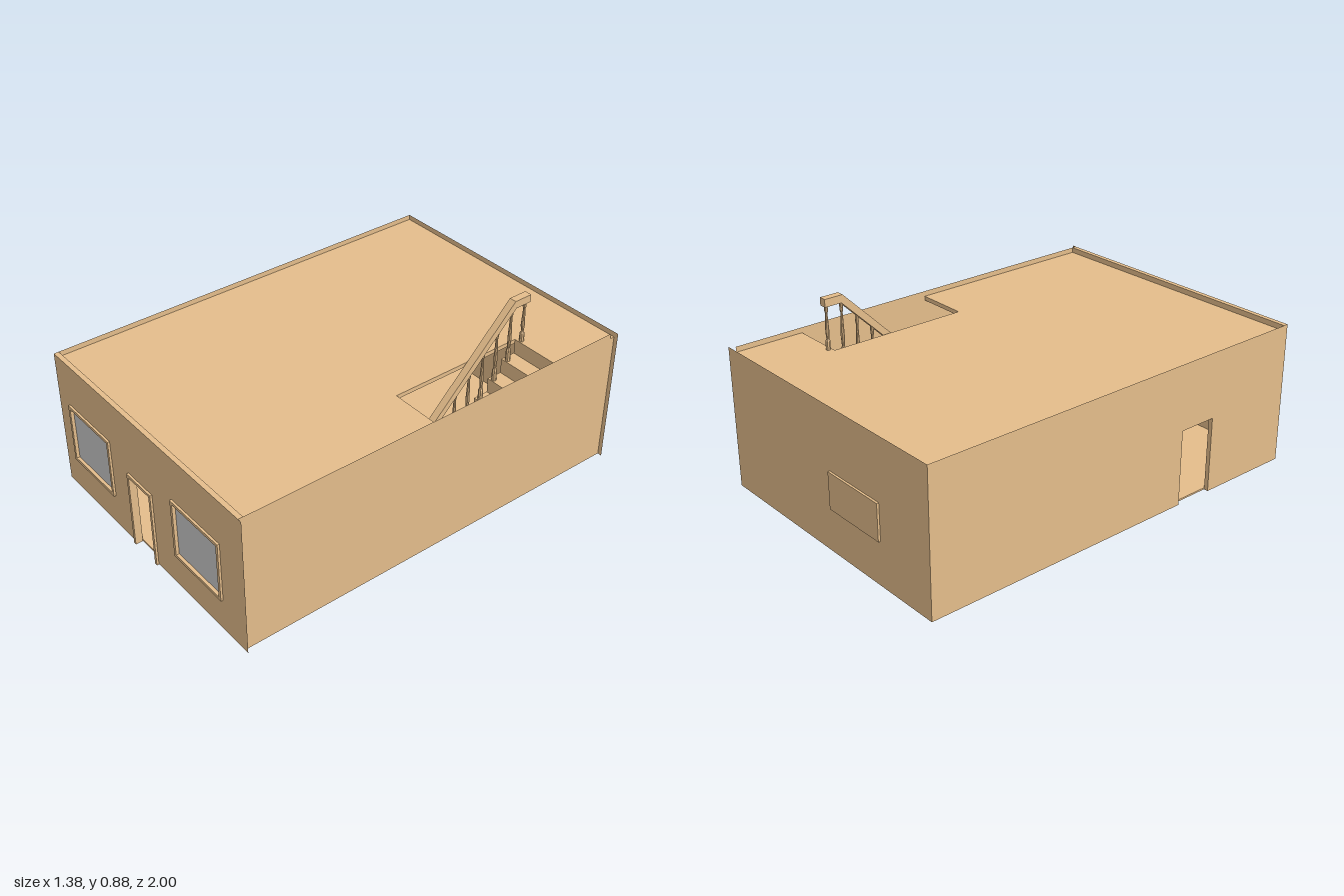
import * as THREE from 'three';

const tan = new THREE.MeshStandardMaterial({ color: 0xe4bd8b, side: THREE.DoubleSide, flatShading: true });
const glass = new THREE.MeshStandardMaterial({ color: 0xcccccc, side: THREE.DoubleSide });

// Main levels and wall planes
const BASE = 0.01, CEILING = 0.63, ROOF = 0.65, TOP = 0.675;
const X_OUT = 0.6875, X_IN = 0.667, Z_OUT = 0.99, Z_IN = 0.967;
// Stairwell
const WELL_X = 0.415, WELL_BACK = -0.64, WELL_FRONT = 0.03;
const STEPS = 9, RUN = (WELL_FRONT - WELL_BACK) / STEPS, RISE = 0.0705;

const rect = (a0, b0, a1, b1) => [[a0, b0], [a1, b0], [a1, b1], [a0, b1]];

function extrude(points, depth, holes = []) {
  const v = (list) => list.map(([a, b]) => new THREE.Vector2(a, b));
  const shape = new THREE.Shape(v(points));
  for (const h of holes) shape.holes.push(new THREE.Path(v(h)));
  return new THREE.ExtrudeGeometry(shape, { depth, bevelEnabled: false });
}
// Profile in (x, y), running from z0 to z1
const alongZ = (points, z0, z1, holes) => extrude(points, z1 - z0, holes).translate(0, 0, z0);
// Profile in (z, y), running from x0 to x1
function alongX(points, x0, x1, holes = []) {
  const flip = (list) => list.map(([z, y]) => [-z, y]);
  return extrude(flip(points), x1 - x0, holes.map(flip)).rotateY(Math.PI / 2).translate(x0, 0, 0);
}
// Plan in (x, z), running from y0 to y1
function alongY(points, y0, y1) {
  return extrude(points.map(([x, z]) => [x, -z]), y1 - y0).rotateX(-Math.PI / 2).translate(0, y0, 0);
}

export function createModel() {
  const model = new THREE.Group();
  const add = (name, geometry, material = tan, parent = model) => {
    const mesh = new THREE.Mesh(geometry, material);
    mesh.name = name;
    parent.add(mesh);
    return mesh;
  };
  const sheet = (name, w, h, x, y, z, turn = 0) =>
    add(name, new THREE.PlaneGeometry(w, h).rotateY(turn).translate(x, y, z));

  // Openings, as [x0, y0, x1, y1]
  const windows = [[-0.597, 0.17, -0.27, 0.46], [0.2, 0.17, 0.53, 0.46]];
  const door = [-0.135, 0.045, 0.38];
  const backWindow = rect(-0.375, 0.215, -0.045, 0.385);

  // Front wall with a notch for the door and two window holes
  add('frontWall', alongZ([
    [-X_OUT, BASE], [door[0], BASE], [door[0], door[2]], [door[1], door[2]],
    [door[1], BASE], [X_IN, BASE], [X_IN, TOP], [-X_OUT, TOP],
  ], Z_IN, Z_OUT, windows.map((w) => rect(...w))));

  // Back wall
  add('backWall', alongZ(rect(-X_OUT, BASE, X_IN, CEILING), -Z_OUT, -Z_IN, [backWindow]));

  // Left-hand wall with a side doorway, and the thin wall opposite
  add('sideWallWithDoorway', alongX([
    [-Z_IN, BASE], [0.345, BASE], [0.345, 0.365], [0.53, 0.365],
    [0.53, BASE], [Z_IN, BASE], [Z_IN, CEILING], [-Z_IN, CEILING],
  ], -X_OUT, -X_IN));
  sheet('stairSideWall', 2 * Z_IN, TOP - BASE, X_IN, (TOP + BASE) / 2, 0, Math.PI / 2);

  // Wall faces running past the thin side wall
  const finX = (X_IN + X_OUT) / 2;
  for (const s of [1, -1]) {
    sheet('wallEnd', X_OUT - X_IN, TOP - BASE, finX, (TOP + BASE) / 2, s * Z_OUT, s > 0 ? 0 : Math.PI);
  }

  // Parapet sheets above the roof
  const parapetY = (ROOF + TOP) / 2, parapetH = TOP - ROOF;
  sheet('backParapet', X_OUT + X_IN, parapetH, (X_IN - X_OUT) / 2, parapetY, -Z_OUT, Math.PI);
  sheet('sideParapet', Z_IN + Z_OUT, parapetH, -X_OUT, parapetY, (Z_IN - Z_OUT) / 2, -Math.PI / 2);

  // Roof and floor, both notched for the stairwell
  const plan = (x0, z0) => [
    [x0, z0], [X_IN, z0], [X_IN, WELL_BACK], [WELL_X, WELL_BACK],
    [WELL_X, WELL_FRONT], [X_IN, WELL_FRONT], [X_IN, Z_IN], [x0, Z_IN],
  ];
  add('roof', alongY(plan(-X_OUT, -Z_OUT), CEILING, ROOF));
  add('floor', alongY(plan(-X_IN, -Z_IN), BASE, BASE + 0.008));

  // Front windows: frame around a grey pane
  const rim = 0.014;
  for (const [x0, y0, x1, y1] of windows) {
    const inner = [x0 + rim, y0 + rim, x1 - rim, y1 - rim];
    add('windowFrame', alongZ(rect(x0, y0, x1, y1), Z_IN - 0.002, 1, [rect(...inner)]));
    add('windowPane', alongZ(rect(...inner), 0.98, 0.985), glass);
  }
  add('backWindowPanel', alongZ(backWindow, -1, -Z_IN + 0.002));

  // Front door frame, open at the bottom
  const [d0, d1, dTop] = door;
  add('doorFrame', alongZ([
    [d0, 0.005], [d0 + rim, 0.005], [d0 + rim, dTop - rim], [d1 - rim, dTop - rim],
    [d1 - rim, 0.005], [d1, 0.005], [d1, dTop], [d0, dTop],
  ], Z_IN - 0.002, 1));

  // Staircase: a folded strip of treads and risers
  const stairs = new THREE.Group();
  stairs.name = 'staircase';
  model.add(stairs);
  const upper = [[WELL_BACK, ROOF]], lower = [[WELL_BACK - 0.006, ROOF]];
  for (let i = 0; i < STEPS; i++) {
    const z = WELL_BACK + i * RUN, y = ROOF - (i + 1) * RISE;
    upper.push([z, y], [z + RUN, y]);
    lower.push([z - 0.006, y - 0.006], [z + RUN - (i < STEPS - 1 ? 0.006 : 0), y - 0.006]);
  }
  add('steps', alongX([...upper, ...lower.reverse()], WELL_X, X_IN - 0.001), tan, stairs);
  // Panel closing the space under the steps
  add('understairPanel', alongX([
    [WELL_BACK, BASE], [WELL_FRONT - RUN, BASE], [WELL_BACK, ROOF - 1.1 * RISE],
  ], WELL_X, WELL_X + 0.004), tan, stairs);

  // Handrail: level at the top, then sloping down with the stairs
  const railTop = 0.885, bend = -0.58, railEnd = 0.13, thick = 0.036;
  const railY = (z) => railTop - Math.max(0, z - bend);
  add('handrail', alongX([
    [-0.67, railTop], [bend, railTop], [railEnd, railY(railEnd)],
    [railEnd, railY(railEnd) - thick], [bend - 0.008, railTop - thick], [-0.67, railTop - thick],
  ], 0.422, 0.457), tan, stairs);

  // Turned balusters standing on the roof, the treads and the floor
  const profile = [[0, 0], [0.011, 0], [0.011, 0.2], [0.006, 0.24], [0.009, 0.4], [0.005, 0.8], [0.008, 0.85], [0.008, 1]];
  for (let i = 0; i < 11; i++) {
    const z = -0.655 + i * 0.0755;
    const step = Math.floor((z - WELL_BACK) / RUN) + 1;
    const foot = z > -0.01 ? 0 : ROOF - Math.max(0, step) * RISE;
    const height = railY(z) - thick + 0.006 - foot;
    const points = profile.map(([r, t]) => new THREE.Vector2(r, t * height));
    add('baluster', new THREE.LatheGeometry(points, 8).translate(0.439, foot, z), tan, stairs);
  }
  return model;
}
